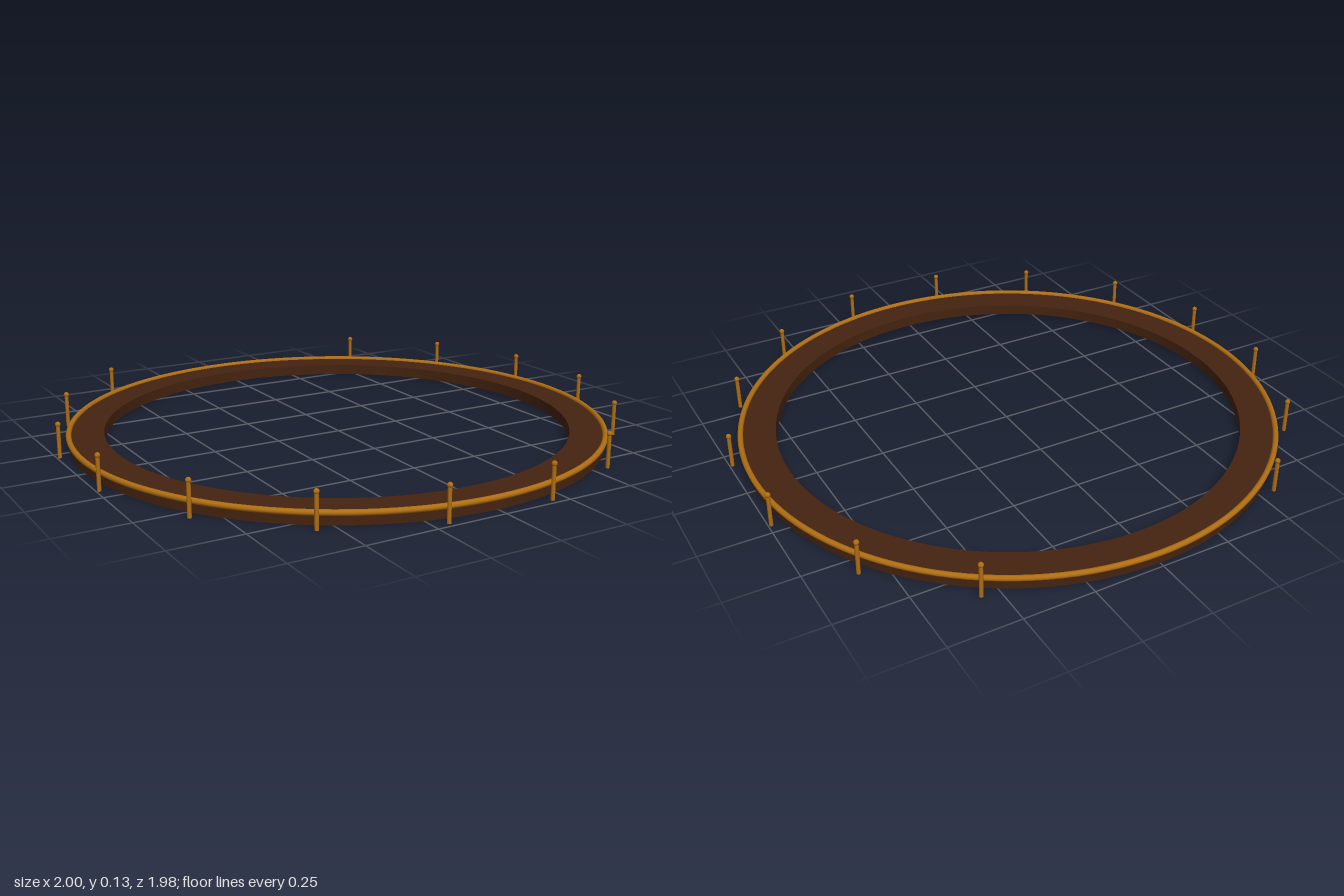
import * as THREE from 'three';

export function createModel() {
  const wood = new THREE.MeshStandardMaterial({ color: 0x45230f });
  wood.name = 'dark wood';
  const brass = new THREE.MeshStandardMaterial({ color: 0xb06e12 });
  brass.name = 'brass';

  const model = new THREE.Group();
  model.name = 'ringWithPosts';
  const add = (parent, name, geometry, material, x, y, z) => {
    const mesh = new THREE.Mesh(geometry, material);
    mesh.name = name;
    mesh.position.set(x, y, z);
    parent.add(mesh);
    return mesh;
  };

  // The missing rear posts put the ring a little behind the middle
  const ring = new THREE.Group();
  ring.name = 'ring';
  ring.position.z = -0.012;
  model.add(ring);

  // Flat annular base
  const inner = 0.845, outer = 0.97, height = 0.04;
  const shape = new THREE.Shape().absarc(0, 0, outer, 0, Math.PI * 2, false);
  shape.holes.push(new THREE.Path().absarc(0, 0, inner, 0, Math.PI * 2, true));
  const baseGeo = new THREE.ExtrudeGeometry(shape, { depth: height, bevelEnabled: false, curveSegments: 96 });
  baseGeo.rotateX(-Math.PI / 2);
  add(ring, 'base', baseGeo, wood, 0, 0, 0);

  // Round trim along the outer top edge
  const trimGeo = new THREE.TorusGeometry(outer, 0.01, 10, 128);
  trimGeo.rotateX(Math.PI / 2);
  add(ring, 'trim', trimGeo, brass, 0, height, 0);

  // Sixteen equal places for posts, with the rear two left open
  const postGeo = new THREE.CylinderGeometry(0.007, 0.007, 0.12, 10);
  const knobGeo = new THREE.SphereGeometry(0.0095, 12, 8);
  for (let i = 0; i < 16; i++) {
    if (i === 7 || i === 8) continue;
    const angle = (i + 0.5) * Math.PI / 8;
    const post = new THREE.Group();
    post.name = 'post';
    post.position.set(Math.sin(angle) * 1.009, 0, Math.cos(angle) * 1.009);
    add(post, 'postShaft', postGeo, brass, 0, 0.06, 0);
    add(post, 'postKnob', knobGeo, brass, 0, 0.12, 0);
    ring.add(post);
  }
  return model;
}
